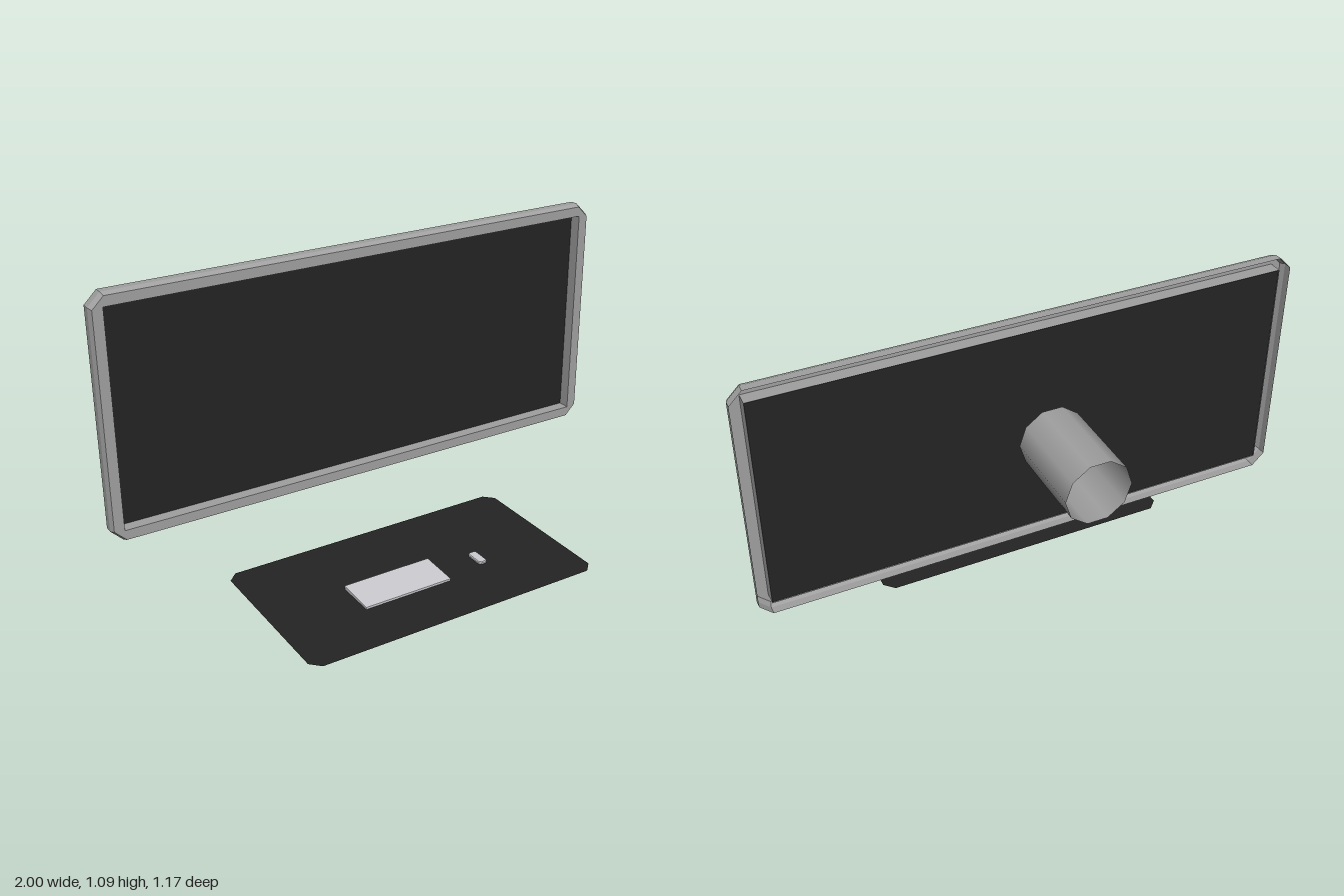
import * as THREE from 'three';

const material = (name, color, side = THREE.FrontSide) => {
  const m = new THREE.MeshStandardMaterial({ color, side });
  m.name = name;
  return m;
};

// Rectangle outline with cut corners, as eight [x, y] points, counter-clockwise
function cutRect(w, h, c) {
  return [
    [w - c, -h], [w, -h + c], [w, h - c], [w - c, h],
    [-w + c, h], [-w, h - c], [-w, -h + c], [-w + c, -h],
  ];
}

// Flat-faced skin joining successive rings { points, z }
function loftRings(rings) {
  const pos = [];
  for (let r = 0; r < rings.length - 1; r++) {
    const a = rings[r], b = rings[r + 1], n = a.points.length;
    for (let i = 0; i < n; i++) {
      const j = (i + 1) % n;
      const A = [...a.points[i], a.z], B = [...a.points[j], a.z];
      const C = [...b.points[j], b.z], D = [...b.points[i], b.z];
      // the inner corners are single points, so skip their empty triangles
      if (A.join() !== B.join()) pos.push(...A, ...C, ...B);
      if (C.join() !== D.join()) pos.push(...A, ...D, ...C);
    }
  }
  const g = new THREE.BufferGeometry();
  g.setAttribute('position', new THREE.Float32BufferAttribute(pos, 3));
  g.computeVertexNormals();
  return g;
}

export function createModel() {
  const group = new THREE.Group();
  const grey = material('frame grey', 0xa0a0a0, THREE.DoubleSide);
  const black = material('matte black', 0x242424, THREE.DoubleSide);
  const pale = material('pale plastic', 0xcdcdd2);

  const add = (name, geometry, mat, x, y, z) => {
    const mesh = new THREE.Mesh(geometry, mat);
    mesh.name = name;
    mesh.position.set(x, y, z);
    group.add(mesh);
    return mesh;
  };

  // Monitor frame: channel section, open at the back
  const inner = cutRect(0.955, 0.403, 0);
  add('monitorFrame', loftRings([
    { points: inner, z: -0.2 },
    { points: inner, z: -0.15 },
    { points: cutRect(0.992, 0.44, 0.042), z: -0.15 },
    { points: cutRect(1, 0.448, 0.045), z: -0.17 },
    { points: cutRect(1, 0.448, 0.045), z: -0.2 },
  ]), grey, 0, 0.642, 0);

  // Screen panel, set deep in the frame
  add('screen', new THREE.PlaneGeometry(1.91, 0.806), black, 0, 0.642, -0.195);

  // Wall mount tube, ten sides and open ends
  const tube = new THREE.CylinderGeometry(0.12, 0.12, 0.335, 10, 1, true, Math.PI / 2);
  tube.rotateX(Math.PI / 2);
  add('mountTube', tube, grey, -0.05, 0.642, -0.418);

  // Desk mat
  const matShape = new THREE.Shape(cutRect(0.572, 0.32, 0.035).map((p) => new THREE.Vector2(...p)));
  const deskMat = new THREE.ShapeGeometry(matShape);
  deskMat.rotateX(-Math.PI / 2);
  add('deskMat', deskMat, black, -0.062, 0, 0.26);

  // Keyboard: wedge, lower at the front
  const keyboard = new THREE.BoxGeometry(0.344, 0.014, 0.147);
  const p = keyboard.attributes.position;
  for (let i = 0; i < p.count; i++) {
    if (p.getY(i) > 0 && p.getZ(i) > 0) p.setY(i, 0.001);
  }
  keyboard.computeVertexNormals();
  add('keyboard', keyboard, pale, -0.149, 0.009, 0.308);

  // Mouse: cut-corner block with a bevelled top
  const mouseShape = new THREE.Shape(cutRect(0.015, 0.036, 0.006).map((q) => new THREE.Vector2(...q)));
  const mouse = new THREE.ExtrudeGeometry(mouseShape, {
    depth: 0.006, bevelEnabled: true, bevelThickness: 0.003, bevelSize: 0.003, bevelSegments: 1,
  });
  mouse.rotateX(-Math.PI / 2);
  add('mouse', mouse, pale, 0.184, 0.005, 0.316);

  return group;
}
